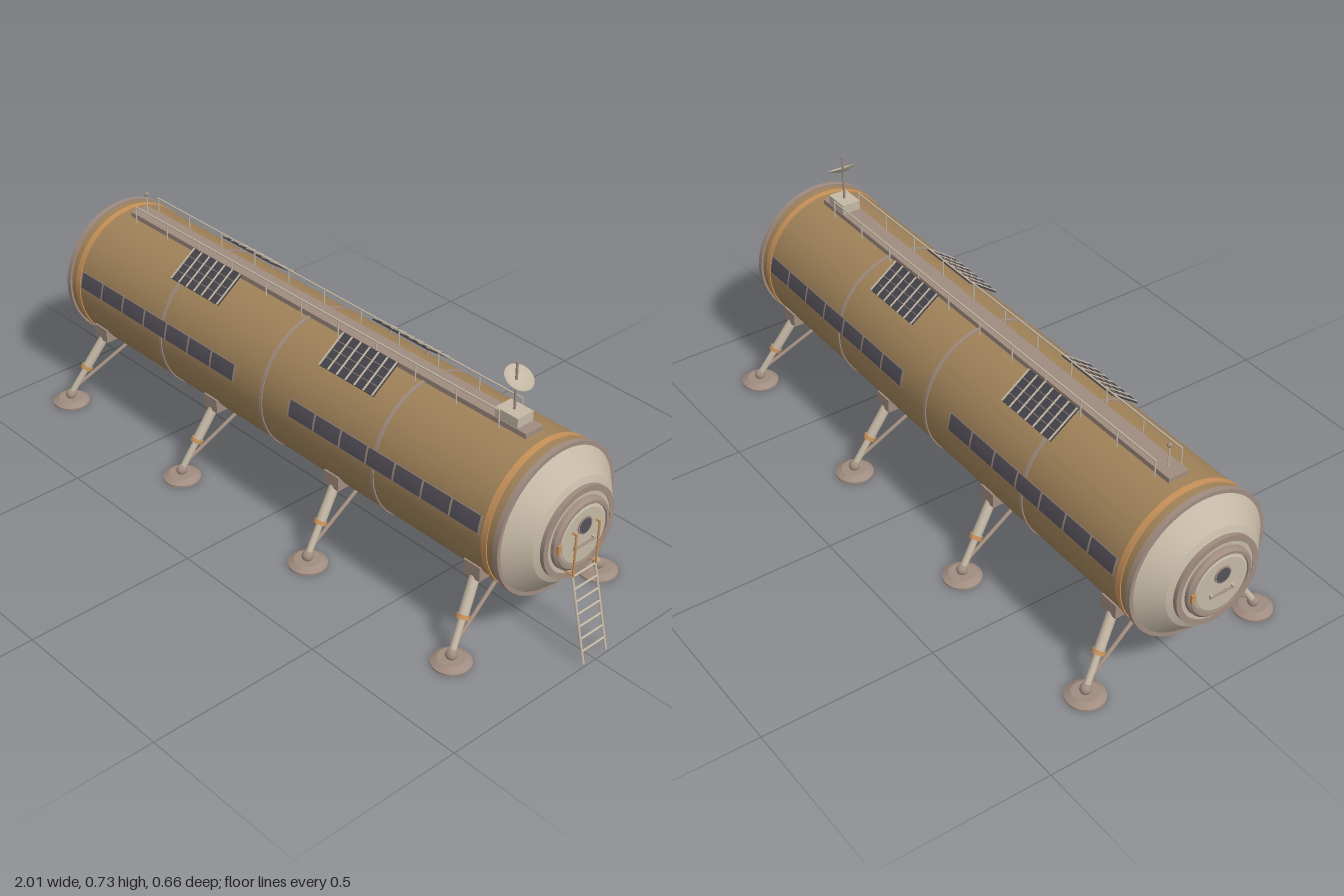
import * as THREE from 'three';
import { toCreasedNormals } from 'three/addons/utils/BufferGeometryUtils.js';

const mat = (name, color, side = THREE.FrontSide) => {
  const m = new THREE.MeshStandardMaterial({ color, side });
  m.name = name;
  return m;
};

export function createModel() {
  const tan = mat('tanHull', 0xa08259);
  const cream = mat('creamMetal', 0xc4b8a5, THREE.DoubleSide);
  const mauve = mat('mauveMetal', 0xa08c80);
  const orange = mat('orangeTrim', 0xc8925a);
  const glass = mat('darkGlass', 0x55525a);
  const solar = mat('solarCell', 0x45434a);

  const model = new THREE.Group();
  model.name = 'habitatModule';
  const CX = -0.035, CY = 0.345, R = 0.205;

  const add = (parent, name, geo, material, x = 0, y = 0, z = 0) => {
    const m = new THREE.Mesh(geo, material);
    m.name = name;
    m.position.set(x, y, z);
    parent.add(m);
    return m;
  };
  const group = (parent, name, x = 0, y = 0, z = 0) => {
    const g = new THREE.Group();
    g.name = name;
    g.position.set(x, y, z);
    parent.add(g);
    return g;
  };
  const box = (parent, name, w, h, d, material, x, y, z) =>
    add(parent, name, new THREE.BoxGeometry(w, h, d), material, x, y, z);
  // Surface of revolution around x, from [x, radius] points
  const turned = (points, segs = 64) => {
    const g = new THREE.LatheGeometry(points.map(([x, r]) => new THREE.Vector2(r, x)), segs);
    return toCreasedNormals(g.rotateZ(-Math.PI / 2), 0.35);
  };
  // Round bar between two points
  const bar = (parent, name, a, b, r, material, r2 = r, segs = 12) => {
    const p = new THREE.Vector3(...a), q = new THREE.Vector3(...b);
    const m = add(parent, name, new THREE.CylinderGeometry(r2, r, p.distanceTo(q), segs), material);
    m.position.copy(p).add(q).multiplyScalar(0.5);
    m.quaternion.setFromUnitVectors(new THREE.Vector3(0, 1, 0), q.sub(p).normalize());
    return m;
  };

  // Pressure hull and its bands
  const hull = group(model, 'hull', CX, CY, 0);
  add(hull, 'hullBarrel', turned([[-0.875, R], [0.875, R]]), tan);
  const band = (name, x, w, r, material) =>
    add(hull, name, turned([[x - w / 2, R - 0.005], [x - w / 2, r], [x + w / 2, r], [x + w / 2, R - 0.005]]), material);
  for (const x of [-0.435, 0, 0.435]) band('seamBand', x, 0.01, 0.208, mauve);
  for (const s of [-1, 1]) {
    band('orangeBand', s * 0.827, 0.018, 0.208, orange);
    band('endRim', s * 0.868, 0.016, 0.211, mauve);
  }

  // Window strips, curved to the hull
  const patch = (name, x, w, a0, a1, r, side, material) => {
    const start = side > 0 ? -a1 : Math.PI + a0;
    const g = new THREE.CylinderGeometry(r, r, w, 6, 1, true, start, a1 - a0).rotateZ(-Math.PI / 2);
    add(hull, name, g, material, x);
  };
  for (const side of [-1, 1]) for (const cx of [-0.461, 0.461]) {
    patch('windowFrame', cx, 0.704, 0.09, 0.348, R + 0.0035, side, mauve);
    for (let i = 0; i < 7; i++)
      patch('windowPane', cx + (i - 3) * 0.0995, 0.093, 0.104, 0.334, R + 0.005, side, glass);
  }

  // End caps with hatches, the second turned to face the other way
  for (const s of [1, -1]) {
    const cap = group(hull, s > 0 ? 'rightEndCap' : 'leftEndCap');
    cap.rotation.y = s > 0 ? 0 : Math.PI;
    add(cap, 'capCone', turned([[0.872, 0.204], [0.93, 0.145], [0.938, 0.126], [0.938, 0]]), cream);
    add(cap, 'dockingRing', turned([[0.93, 0.128], [0.949, 0.128], [0.949, 0.112], [0.93, 0.112]]), mauve);
    add(cap, 'dockingPlate', turned([[0.93, 0.113], [0.947, 0.113], [0.947, 0]]), cream);
    add(cap, 'hatchRing', turned([[0.94, 0.102], [0.956, 0.1], [0.963, 0.093], [0.963, 0.085], [0.94, 0.085]]), mauve);
    add(cap, 'hatchDoor', turned([[0.94, 0.084], [0.959, 0.084], [0.963, 0.076], [0.963, 0]]), cream);
    add(cap, 'portholeRim', turned([[0.96, 0.025], [0.966, 0.025], [0.966, 0]], 32), mauve, 0, 0.03);
    add(cap, 'portholeGlass', turned([[0.96, 0.021], [0.967, 0.021], [0.967, 0]], 32), glass, 0, 0.03);
    box(cap, 'hatchHinge', 0.02, 0.024, 0.012, orange, 0.957, 0, 0.089);
    bar(cap, 'hatchHandle', [0.969, -0.022, -0.036], [0.969, -0.022, 0.036], 0.003, mauve);
    for (const z of [-0.034, 0.034]) box(cap, 'handleMount', 0.012, 0.012, 0.006, cream, 0.964, -0.022, z);
  }

  // Roof walkway with railings
  const roof = group(model, 'roof');
  box(roof, 'walkway', 1.57, 0.02, 0.06, mauve, -0.035, 0.552, 0);
  for (const z of [-0.041, 0.041]) {
    bar(roof, 'handrail', [-0.78, 0.597, z], [0.67, 0.597, z], 0.0025, cream, 0.0025, 8);
    for (let i = 0; i <= 10; i++) {
      const x = -0.78 + i * 0.145;
      bar(roof, 'railPost', [x, 0.54, z], [x, 0.597, z], 0.0022, cream, 0.0022, 8);
    }
  }
  bar(roof, 'beaconMast', [-0.78, 0.555, 0], [-0.78, 0.625, 0], 0.0025, cream, 0.0025, 8);
  add(roof, 'beacon', new THREE.SphereGeometry(0.007, 16, 12), mauve, -0.78, 0.625, 0);

  // Antenna with tilted dish
  const antenna = group(model, 'antenna', 0.682, 0, 0);
  box(antenna, 'antennaBox', 0.075, 0.034, 0.056, cream, 0, 0.573, 0);
  bar(antenna, 'antennaMast', [0, 0.585, 0], [0, 0.725, 0], 0.0035, mauve);
  const dishProfile = [];
  for (let i = 0; i <= 8; i++) dishProfile.push(new THREE.Vector2(0.04 * i / 8, 0.012 * (i / 8) ** 2));
  const dish = add(antenna, 'dish', new THREE.LatheGeometry(dishProfile, 32), cream, 0.003, 0.674, 0);
  dish.rotation.z = -0.52;

  // Solar panels
  for (const s of [-1, 1]) for (const x of [-0.393, 0.226]) {
    const panel = group(model, 'solarPanel', x, 0.547, s * 0.095);
    panel.rotation.x = s * 0.633;
    box(panel, 'panelPlate', 0.206, 0.005, 0.107, solar, 0, 0, 0);
    for (let i = 0; i < 7; i++)
      box(panel, 'panelRib', 0.005, 0.003, 0.107, cream, (i - 3) * 0.0333, 0.003, 0);
    for (const z of [-0.026, 0, 0.026]) box(panel, 'panelLine', 0.2, 0.002, 0.0015, mauve, 0, 0.003, z);
    for (const dx of [-0.07, 0.07])
      bar(panel, 'panelStrut', [dx, 0, 0], [dx, -0.035, 0], 0.004, mauve);
  }

  // Landing legs: [hip x, foot x]
  for (const s of [-1, 1]) for (const [hx, fx] of [[-0.8, -0.842], [-0.286, -0.307], [0.217, 0.23], [0.732, 0.767]]) {
    const leg = group(model, 'landingLeg');
    const hip = [hx, 0.21, s * 0.16], ankle = [fx, 0.025, s * 0.275];
    const along = t => hip.map((v, i) => v + (ankle[i] - v) * t);
    box(leg, 'hipBracket', 0.056, 0.042, 0.06, mauve, hx, 0.217, s * 0.15);
    bar(leg, 'upperLeg', hip, along(0.57), 0.014, cream, 0.014, 16);
    bar(leg, 'legCollar', along(0.53), along(0.58), 0.018, orange, 0.018, 16);
    bar(leg, 'lowerLeg', along(0.55), ankle, 0.0095, cream, 0.0095, 16);
    bar(leg, 'sideStrut', along(0.9), [hx, 0.153, s * 0.07], 0.0055, mauve);
    add(leg, 'ankleBall', new THREE.SphereGeometry(0.016, 20, 14), mauve, ...ankle);
    add(leg, 'footPad', toCreasedNormals(new THREE.CylinderGeometry(0.037, 0.054, 0.011, 32), 0.4), mauve, fx, 0.0105, s * 0.275);
    add(leg, 'footRim', toCreasedNormals(new THREE.CylinderGeometry(0.054, 0.054, 0.005, 32), 0.4), mauve, fx, 0.0025, s * 0.275);
  }

  // Belly keel, service plates and pipes
  const belly = group(model, 'belly');
  box(belly, 'keel', 1.49, 0.034, 0.11, mauve, -0.045, 0.133, 0);
  for (let i = 0; i < 9; i++)
    box(belly, 'servicePlate', 0.072, 0.012, 0.07, mauve, -0.69 + i * 0.161, 0.111, 0);
  for (const [z, m] of [[0.067, cream], [-0.067, orange]])
    bar(belly, 'servicePipe', [-0.79, 0.137, z], [0.7, 0.137, z], 0.008, m);

  // Boarding ladder and grab rails
  const ladder = group(model, 'boardingLadder');
  const top = [0.938, 0.245], foot = [0.996, 0.006];
  for (const z of [-0.042, 0.042]) {
    bar(ladder, 'ladderRail', [...foot, z], [...top, z], 0.0035, cream);
    bar(ladder, 'grabRail', [0.94, 0.245, z], [0.94, 0.375, z], 0.003, orange);
    for (const y of [0.25, 0.372]) bar(ladder, 'railMount', [0.9, y, z], [0.94, y, z], 0.003, orange);
  }
  for (let i = 0; i < 7; i++) {
    const y = 0.04 + i * 0.034, t = (y - foot[1]) / (top[1] - foot[1]);
    const x = foot[0] + (top[0] - foot[0]) * t;
    bar(ladder, 'rung', [x, y, -0.042], [x, y, 0.042], 0.003, cream);
  }
  return model;
}
